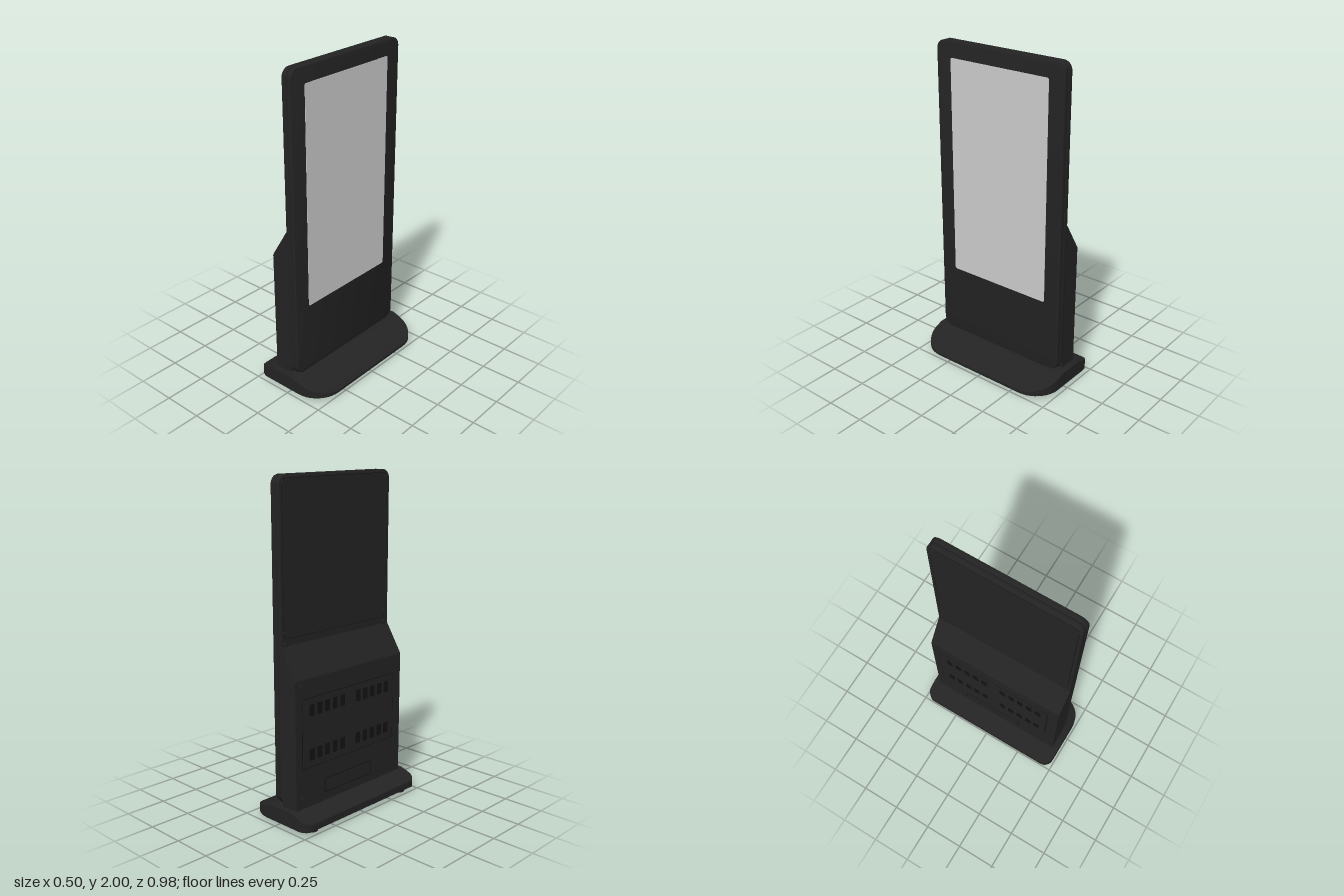
import * as THREE from 'three';
import { toCreasedNormals } from 'three/addons/utils/BufferGeometryUtils.js';

const material = (name, color, extra = {}) => {
  const m = new THREE.MeshStandardMaterial({ color, ...extra });
  m.name = name;
  return m;
};

// Rounded rectangle in the y-z plane, centred on z, extruded from x0 to x1
function slab(halfWidth, y0, y1, r, x0, x1, bevel = 0) {
  const w = halfWidth - bevel, a = y0 + bevel, b = y1 - bevel, q = Math.PI / 2;
  const s = new THREE.Shape();
  s.absarc(w - r, a + r, r, -q, 0);
  s.absarc(w - r, b - r, r, 0, q);
  s.absarc(-w + r, b - r, r, q, 2 * q);
  s.absarc(-w + r, a + r, r, 2 * q, 3 * q);
  s.closePath();
  const g = new THREE.ExtrudeGeometry(s, {
    depth: x1 - x0 - 2 * bevel, curveSegments: 8,
    bevelEnabled: bevel > 0, bevelSize: bevel, bevelThickness: bevel, bevelSegments: 2,
  });
  g.rotateY(Math.PI / 2).translate(x0 + bevel, 0, 0);
  return toCreasedNormals(g, 0.6);
}

// Foot plate: four-point sections swept along x, with rounded plan corners
function baseGeometry() {
  const top = [[-0.25, 0.068], [-0.24, 0.075], [-0.14, 0.11], [-0.12, 0.114], [0.04, 0.115], [0.23, 0.052], [0.25, 0.04]];
  const xs = top.map((p) => p[0]);
  for (let i = 0; i <= 10; i++) {
    const t = (i / 10) * (Math.PI / 2);
    xs.push(-0.185 - 0.065 * Math.cos(t), 0.08 + 0.17 * Math.sin(t));
  }
  xs.sort((a, b) => a - b);
  const stations = xs.filter((x, i) => i === 0 || x - xs[i - 1] > 1e-4);
  const arc = (r, d) => r - Math.sqrt(Math.max(0, r * r - d * d));
  const sections = stations.map((x) => {
    let w = 0.488;
    if (x < -0.185) w -= arc(0.065, x + 0.185);
    if (x > 0.08) w -= arc(0.17, x - 0.08);
    let k = 0;
    while (k < top.length - 2 && x > top[k + 1][0]) k++;
    const [p, q] = [top[k], top[k + 1]];
    const y = THREE.MathUtils.mapLinear(x, p[0], q[0], p[1], q[1]);
    const b = x < -0.245 ? 0.03 : 0.023;
    return [[x, b, -w], [x, b, w], [x, y, w], [x, y, -w]];
  });
  const pos = [];
  const quad = (a, b, c, d) => pos.push(...a, ...b, ...c, ...a, ...c, ...d);
  for (let i = 0; i < sections.length - 1; i++) {
    const a = sections[i], b = sections[i + 1];
    for (let k = 0; k < 4; k++) quad(a[k], b[k], b[(k + 1) % 4], a[(k + 1) % 4]);
  }
  const f = sections[0], l = sections[sections.length - 1];
  quad(f[0], f[1], f[2], f[3]);
  quad(l[3], l[2], l[1], l[0]);
  const g = new THREE.BufferGeometry();
  g.setAttribute('position', new THREE.Float32BufferAttribute(pos, 3));
  return toCreasedNormals(g, 0.4);
}

export function createModel() {
  const body = material('body charcoal', 0x232323);
  const dark = material('recess black', 0x131313);
  const glass = material('display grey', 0xcacaca);

  const root = new THREE.Group();
  root.name = 'displayKiosk';
  const add = (name, geometry, mat, x = 0, y = 0, z = 0, parent = root) => {
    const m = new THREE.Mesh(geometry, mat);
    m.name = name;
    m.position.set(x, y, z);
    parent.add(m);
    return m;
  };

  // Base and feet
  add('base', baseGeometry(), body);
  const foot = new THREE.CylinderGeometry(0.042, 0.038, 0.026, 24);
  for (const x of [-0.185, 0.153])
    for (const z of [-0.385, 0.385]) add('foot', foot, body, x, 0.013, z);

  // Upright made of two shells with a recessed seam
  add('frontShell', slab(0.448, 0.12, 2, 0.05, 0.013, 0.045, 0.004), body);
  add('seam', slab(0.442, 0.113, 1.994, 0.045, 0.004, 0.02), dark);
  add('backShell', slab(0.448, 0.113, 2, 0.05, -0.02, 0.01, 0.004), body);

  // Display
  add('screen', slab(0.345, 0.56, 1.905, 0.012, 0.042, 0.047), glass);

  // Upper rear cover and its fasteners
  add('rearCoverGap', slab(0.428, 1.1, 1.982, 0.03, -0.0208, -0.015), dark);
  add('rearCover', slab(0.425, 1.103, 1.979, 0.028, -0.022, -0.015), body);
  const knob = new THREE.CylinderGeometry(0.015, 0.015, 0.014, 16).rotateZ(Math.PI / 2);
  for (const z of [-0.415, 0.415])
    for (const y of [1.07, 1.135, 1.955]) add('coverFastener', knob, body, -0.021, y, z);

  // Equipment housing at the back
  const profile = new THREE.Shape();
  [[-0.13, 0.108], [-0.015, 0.108], [-0.015, 1.063], [-0.02, 1.06], [-0.128, 0.886], [-0.13, 0.878]]
    .forEach(([x, y], i) => (i ? profile.lineTo(x, y) : profile.moveTo(x, y)));
  const housing = new THREE.ExtrudeGeometry(profile, { depth: 0.896, bevelEnabled: false });
  add('housing', housing.translate(0, 0, -0.448), body);

  // Service door with a thin dark outline
  const door = new THREE.Group();
  door.name = 'serviceDoor';
  root.add(door);
  add('doorGap', slab(0.39, 0.35, 0.77, 0.01, -0.1312, -0.125), dark, 0, 0, -0.01, door);
  add('doorPanel', slab(0.385, 0.355, 0.765, 0.008, -0.134, -0.125), body, 0, 0, -0.01, door);

  // Two rows of two vent groups
  const slot = slab(0.02, -0.035, 0.035, 0.006, -0.135, -0.13);
  for (const y of [0.695, 0.43])
    for (const start of [-0.325, 0.06])
      for (let i = 0; i < 5; i++) add('ventSlot', slot, dark, 0, y, start + i * 0.063, door);

  // Connector plate below the door
  add('connectorGap', slab(0.2, 0.16, 0.25, 0.008, -0.1312, -0.125), dark, 0, 0, -0.02);
  add('connectorPlate', slab(0.195, 0.165, 0.245, 0.006, -0.132, -0.125), body, 0, 0, -0.02);

  // Housing locks
  for (const [y, z] of [[0.84, -0.4], [0.175, -0.4], [0.56, -0.325]])
    add('housingLock', knob, body, -0.13, y, z);

  return root;
}
